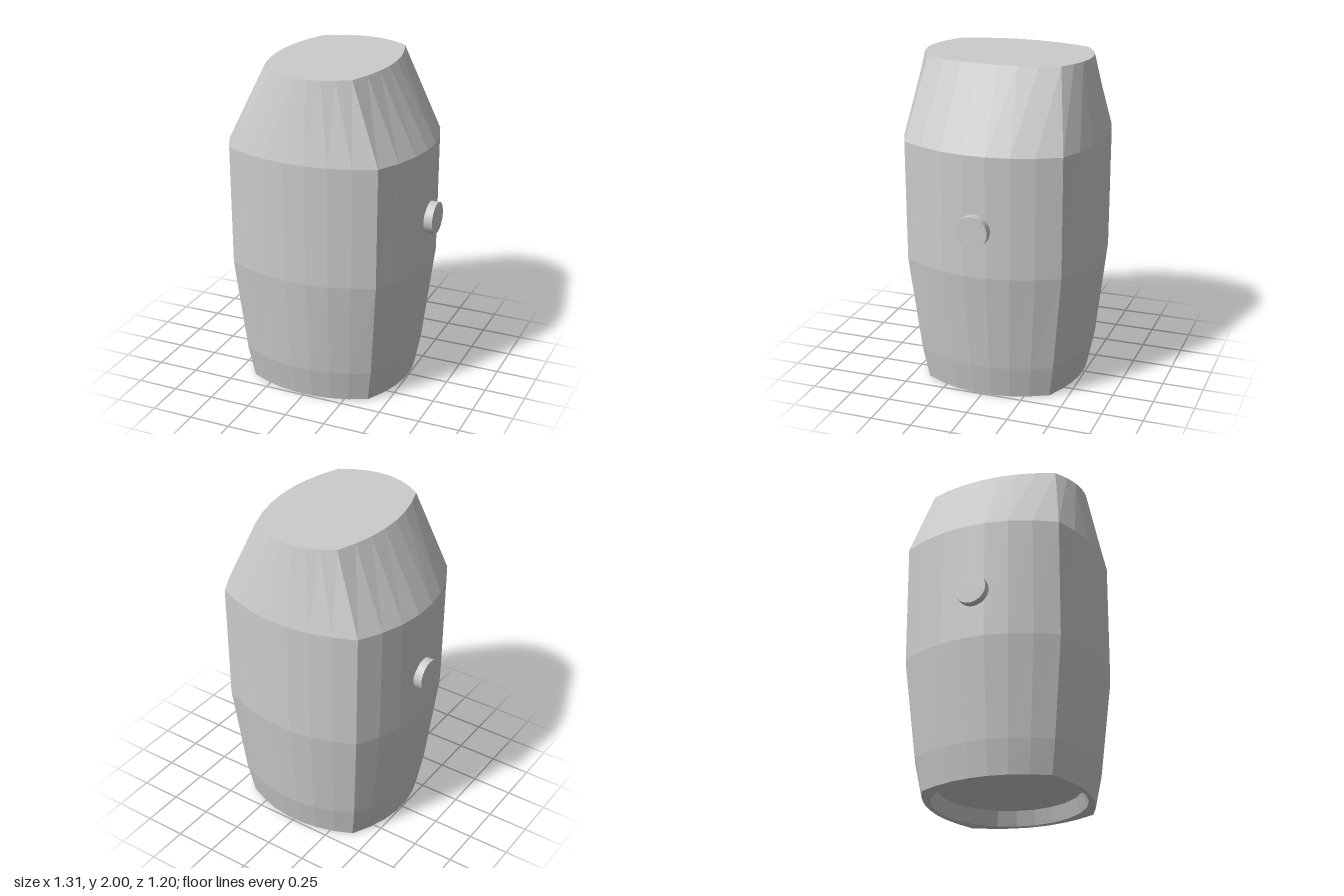
import * as THREE from 'three';

const material = new THREE.MeshStandardMaterial({ color: 0xcccccc });
const flat = new THREE.MeshStandardMaterial({ color: 0xcccccc, flatShading: true });
const SEGMENTS = 7; // facets along each bowed side

// Levels of the body: height, corner x, corner z, half width, half depth
const LEVELS = [
  [0.0, 0.38, 0.39, 0.495, 0.488],
  [0.2, 0.41, 0.42, 0.533, 0.53],
  [0.8, 0.46, 0.48, 0.608, 0.597],
  [1.53, 0.465, 0.482, 0.61, 0.6],
  [2.0, 0.275, 0.405, 0.36, 0.505],
];

// Rectangle with four outward-bowed sides, as [x, z] pairs
function ring([, cx, cz, w, d]) {
  const right = [], back = [];
  for (let i = 0; i < SEGMENTS; i++) {
    const t = 1 - (2 * i) / SEGMENTS;
    right.push([w - (w - cx) * t * t, cz * t]);
    back.push([cx * t, -d + (d - cz) * t * t]);
  }
  const half = [...right, ...back];
  return [...half, ...half.map(([x, z]) => [-x, -z])];
}

function outline(level) {
  return new THREE.Shape(ring(level).map(([x, z]) => new THREE.Vector2(x, z)));
}

function add(group, name, geometry, mat = material) {
  const mesh = new THREE.Mesh(geometry, mat);
  mesh.name = name;
  group.add(mesh);
  return mesh;
}

// Skin joining the successive rings
function skin() {
  const positions = [], index = [];
  const n = SEGMENTS * 4;
  LEVELS.forEach((level, j) => {
    ring(level).forEach(([x, z]) => positions.push(x, level[0], z));
    if (j === 0) return;
    for (let i = 0; i < n; i++) {
      const k = (i + 1) % n, lo = (j - 1) * n, hi = j * n;
      index.push(lo + i, lo + k, hi + k, lo + i, hi + k, hi + i);
    }
  });
  const g = new THREE.BufferGeometry();
  g.setAttribute('position', new THREE.Float32BufferAttribute(positions, 3));
  g.setIndex(index);
  g.computeVertexNormals();
  return g;
}

export function createModel() {
  const model = new THREE.Group();
  model.name = 'torso';

  add(model, 'bodyShell', skin(), flat);

  // Flat top
  const top = new THREE.ShapeGeometry(outline(LEVELS[4]));
  add(model, 'topCap', top.rotateX(-Math.PI / 2).translate(0, 2, 0));

  // Underside rim around a round recess
  const rim = outline(LEVELS[0]);
  const hole = new THREE.Path();
  hole.absarc(0, 0, 0.46, 0, Math.PI * 2, true);
  rim.holes.push(hole);
  add(model, 'bottomRim', new THREE.ShapeGeometry(rim, 12).rotateX(Math.PI / 2));

  // Tapered recess wall and its ceiling
  const wall = new THREE.CylinderGeometry(0.43, 0.46, 0.09, 24, 1, true);
  const wallMaterial = flat.clone();
  wallMaterial.side = THREE.BackSide;
  add(model, 'recessWall', wall.translate(0, 0.045, 0), wallMaterial);
  const ceiling = new THREE.CircleGeometry(0.43, 24).rotateX(Math.PI / 2);
  add(model, 'recessCeiling', ceiling.translate(0, 0.09, 0));

  // Shoulder pegs
  for (const side of [-1, 1]) {
    const peg = new THREE.CylinderGeometry(0.096, 0.096, 0.07, 32).rotateZ(Math.PI / 2);
    add(model, side > 0 ? 'leftPeg' : 'rightPeg', peg).position.set(side * 0.62, 1.09, 0);
  }
  return model;
}
